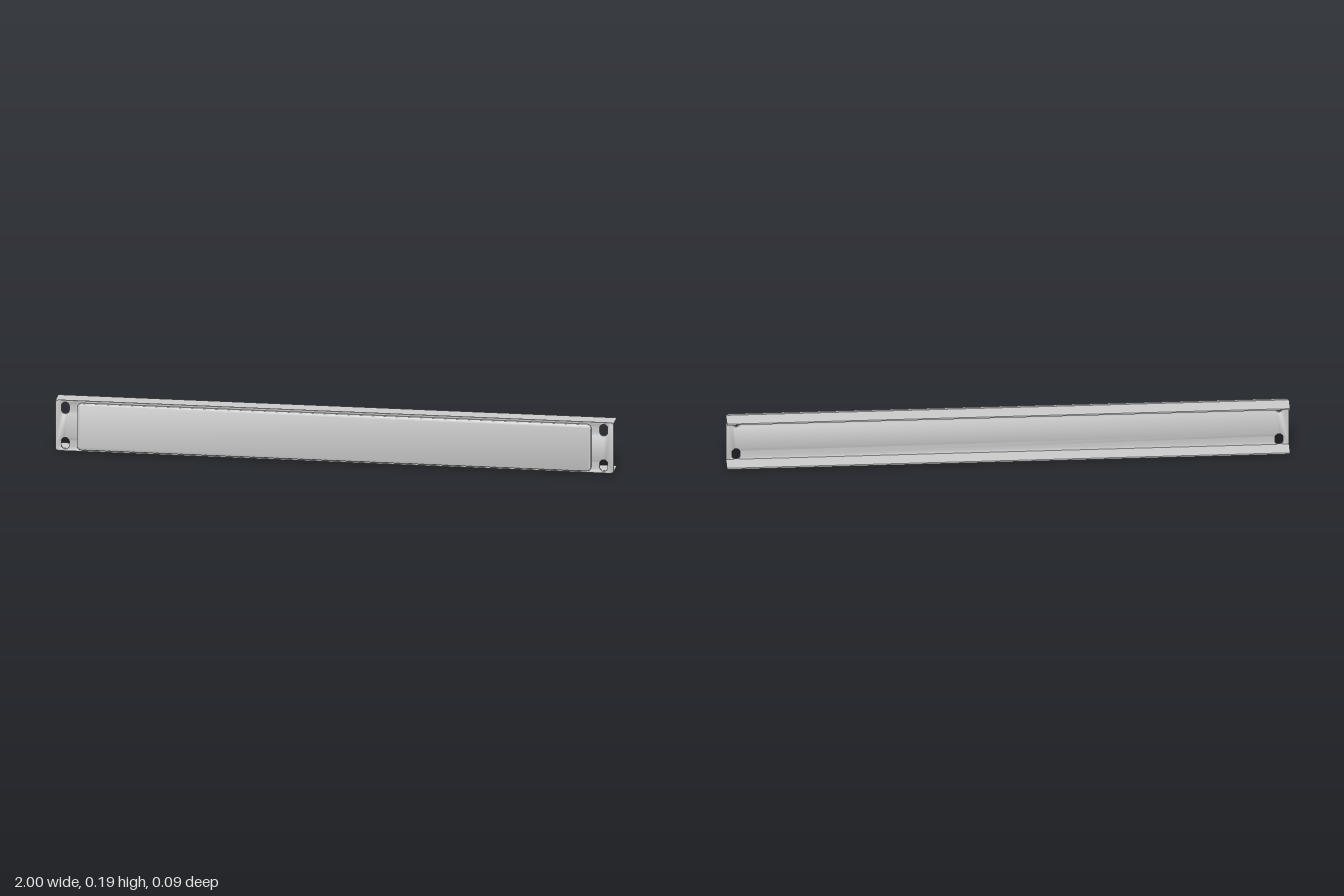
import * as THREE from 'three';
import { toCreasedNormals } from 'three/addons/utils/BufferGeometryUtils.js';

const HEIGHT = 0.187, MID = HEIGHT / 2;
const material = new THREE.MeshStandardMaterial({ color: 0xcccccc });

// Rounded rectangle outline centred on (cx, cy)
function roundedRect(path, cx, cy, w, h, r) {
  const x = w / 2 - r, y = h / 2 - r;
  path.absarc(cx + x, cy + y, r, 0, Math.PI / 2);
  path.absarc(cx - x, cy + y, r, Math.PI / 2, Math.PI);
  path.absarc(cx - x, cy - y, r, Math.PI, Math.PI * 1.5);
  path.absarc(cx + x, cy - y, r, Math.PI * 1.5, Math.PI * 2);
  path.closePath();
  return path;
}

// Extrudes a shape between two z depths, rounding its edges by bevel
function slab(name, shape, z0, z1, bevel) {
  const geometry = new THREE.ExtrudeGeometry(shape, {
    depth: z1 - z0 - 2 * bevel, bevelThickness: bevel, bevelSize: bevel,
    bevelOffset: -bevel, bevelSegments: 4, curveSegments: 8,
  });
  geometry.translate(0, 0, z0 + bevel);
  const mesh = new THREE.Mesh(toCreasedNormals(geometry, 0.6), material);
  mesh.name = name;
  return mesh;
}

export function createModel() {
  const group = new THREE.Group();
  group.name = 'blankingPanel';

  // Mounting plate with a pair of slots at each end
  const plate = roundedRect(new THREE.Shape(), 0, MID, 2, HEIGHT, 0.012);
  for (const sx of [-1, 1]) {
    for (const sy of [-1, 1]) {
      plate.holes.push(roundedRect(new THREE.Path(), sx * 0.964, MID + sy * 0.0655, 0.028, 0.043, 0.0139));
    }
  }
  group.add(slab('mountingPlate', plate, 0.0215, 0.03, 0.001));

  // Raised front panel, its rear edge sunk into the plate
  const front = roundedRect(new THREE.Shape(), 0, MID, 1.84, 0.172, 0.016);
  group.add(slab('frontPanel', front, 0.0225, 0.045, 0.007));

  // Flanges folded back along the top and bottom
  for (const [name, sy] of [['topFlange', 1], ['bottomFlange', -1]]) {
    const flange = new THREE.Mesh(new THREE.BoxGeometry(2, 0.0055, 0.068), material);
    flange.name = name;
    flange.position.set(0, MID + sy * 0.0885, -0.011);
    group.add(flange);
  }
  return group;
}
